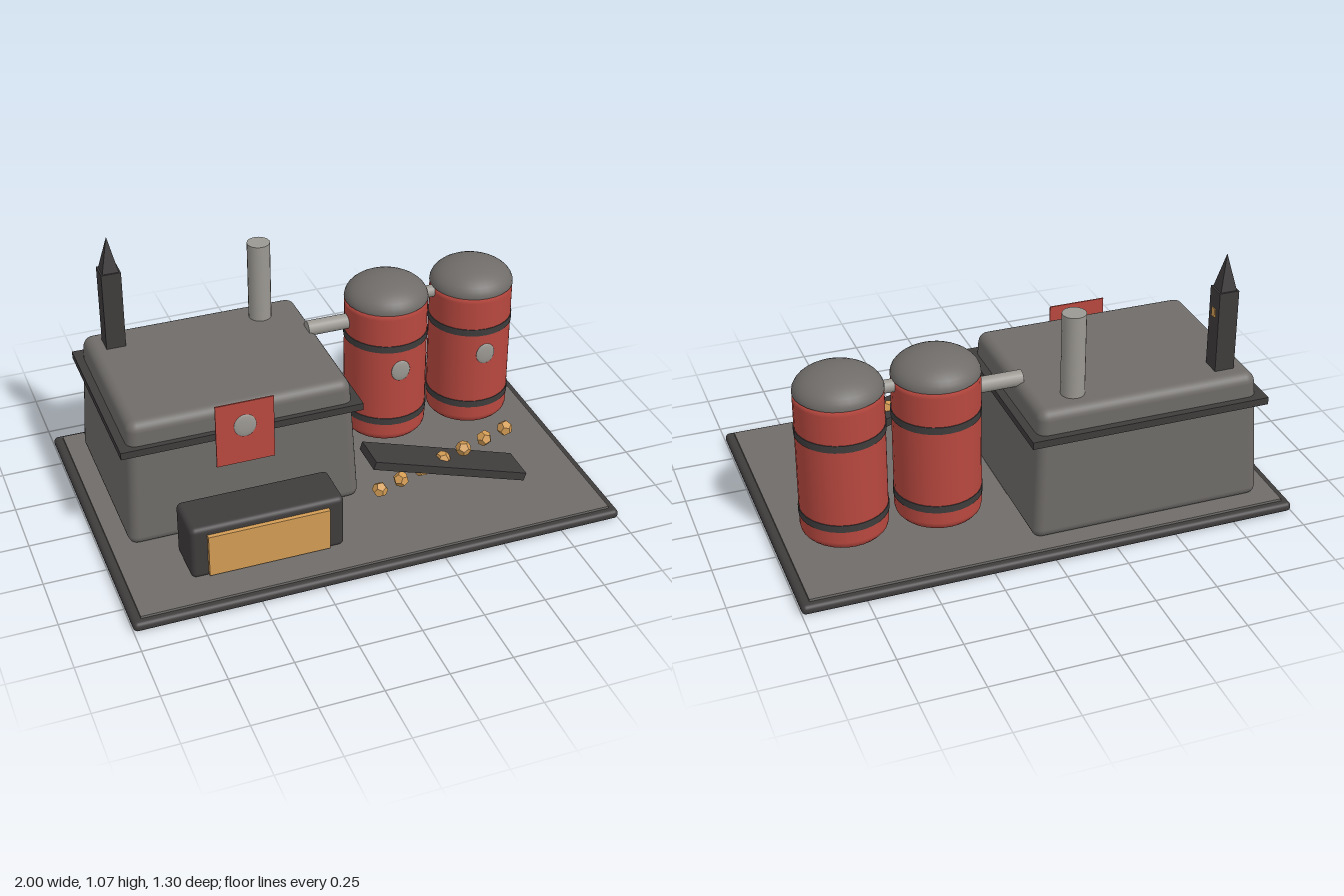
import * as THREE from 'three';
import { RoundedBoxGeometry } from 'three/addons/geometries/RoundedBoxGeometry.js';

const mat = (name, color) => {
  const m = new THREE.MeshStandardMaterial({ color });
  m.name = name;
  return m;
};

export function createModel() {
  const model = new THREE.Group();
  model.name = 'smelter';
  const iron = mat('dark iron', 0x3f3c3c);
  const stone = mat('grey stone', 0x6f6c69);
  const steel = mat('light steel', 0x9b9892);
  const red = mat('red paint', 0xb8483f);
  const amber = mat('amber', 0xd39c55);

  const add = (name, geo, material, x, y, z, parent = model) => {
    const m = new THREE.Mesh(geo, material);
    m.name = name;
    m.position.set(x, y, z);
    parent.add(m);
    return m;
  };
  const box = (w, h, d) => new THREE.BoxGeometry(w, h, d);
  const rounded = (w, h, d, r) => new RoundedBoxGeometry(w, h, d, 3, r);
  const pipe = (name, r, x0, x1, y, z) => {
    add(name, new THREE.CylinderGeometry(r, r, x1 - x0, 16), steel, (x0 + x1) / 2, y, z)
      .rotation.z = Math.PI / 2;
  };

  // Ground slab
  add('baseRim', rounded(2, 0.04, 1.3, 0.018), iron, 0, 0.02, 0);
  add('baseFloor', box(1.93, 0.03, 1.24), stone, 0, 0.035, 0);

  // Main hall: rounded block whose walls lean inward
  const hall = rounded(0.955, 0.545, 0.765, 0.04);
  const p = hall.attributes.position;
  for (let i = 0; i < p.count; i++) {
    const inset = 0.028 * (p.getY(i) / 0.545 + 0.5);
    p.setX(i, p.getX(i) - Math.sign(p.getX(i)) * inset);
    p.setZ(i, p.getZ(i) - Math.sign(p.getZ(i)) * inset);
  }
  add('hall', hall, stone, -0.417, 0.3175, -0.172);
  add('hallBand', box(0.975, 0.03, 0.77), iron, -0.417, 0.48, -0.175);

  // Chimney and spire on the roof
  add('chimney', new THREE.CylinderGeometry(0.047, 0.047, 0.36, 20), steel, -0.143, 0.75, -0.415);
  add('spireTower', box(0.08, 0.345, 0.08), iron, -0.76, 0.7525, -0.415);
  const tip = new THREE.ConeGeometry(0.047, 0.145, 4).toNonIndexed();
  tip.rotateY(Math.PI / 4);
  tip.computeVertexNormals();
  add('spireTip', tip, iron, -0.76, 0.9975, -0.415);
  add('spireWindow', box(0.008, 0.035, 0.025), amber, -0.719, 0.83, -0.415);

  // Hanging banner with a round emblem
  add('banner', box(0.235, 0.275, 0.006), red, -0.417, 0.4825, 0.215);
  const disc = new THREE.SphereGeometry(1, 20, 12);
  add('bannerEmblem', disc, steel, -0.417, 0.513, 0.217).scale.set(0.046, 0.05, 0.008);

  // Furnace with glowing mouth
  add('furnace', rounded(0.615, 0.23, 0.2, 0.022), iron, -0.417, 0.16, 0.38);
  add('furnaceGlow', box(0.485, 0.18, 0.02), amber, -0.417, 0.152, 0.488);

  // Storage tanks
  const body = new THREE.LatheGeometry([
    [0, 0.075], [0.14, 0.075], [0.157, 0.08], [0.168, 0.093], [0.172, 0.11],
    [0.172, 0.66], [0.169, 0.685], [0, 0.685],
  ].map(([x, y]) => new THREE.Vector2(x, y)), 32);
  const dome = new THREE.SphereGeometry(0.173, 32, 10, 0, Math.PI * 2, 0, Math.PI / 2);
  for (const x of [0.343, 0.722]) {
    const tank = new THREE.Group();
    tank.name = 'tank';
    tank.position.set(x, 0, -0.24);
    model.add(tank);
    add('tankBody', body, red, 0, 0, 0, tank);
    add('tankDome', dome, stone, 0, 0.683, 0, tank).scale.y = 0.092 / 0.173;
    for (const y of [0.175, 0.525])
      add('tankBand', new THREE.CylinderGeometry(0.175, 0.175, 0.03, 32), iron, 0, y, 0, tank);
    add('tankGauge', disc, steel, 0, 0.42, 0.171, tank).scale.set(0.041, 0.047, 0.008);
  }
  pipe('feedPipe', 0.032, 0, 0.2, 0.593, -0.245);
  pipe('linkPipe', 0.026, 0.48, 0.59, 0.66, -0.245);

  // Sloping conveyor and a rising row of ore
  add('conveyor', box(0.69, 0.035, 0.15), iron, 0.379, 0.209, 0.31).rotation.z = -0.32;
  const nugget = new THREE.DodecahedronGeometry(0.032);
  for (let i = 0; i < 7; i++) {
    add('ore', nugget, amber, 0.105 + i * 0.089, 0.14 + i * 0.028, 0.31)
      .rotation.set(i * 0.7, i * 1.1, i * 0.5);
  }
  return model;
}
